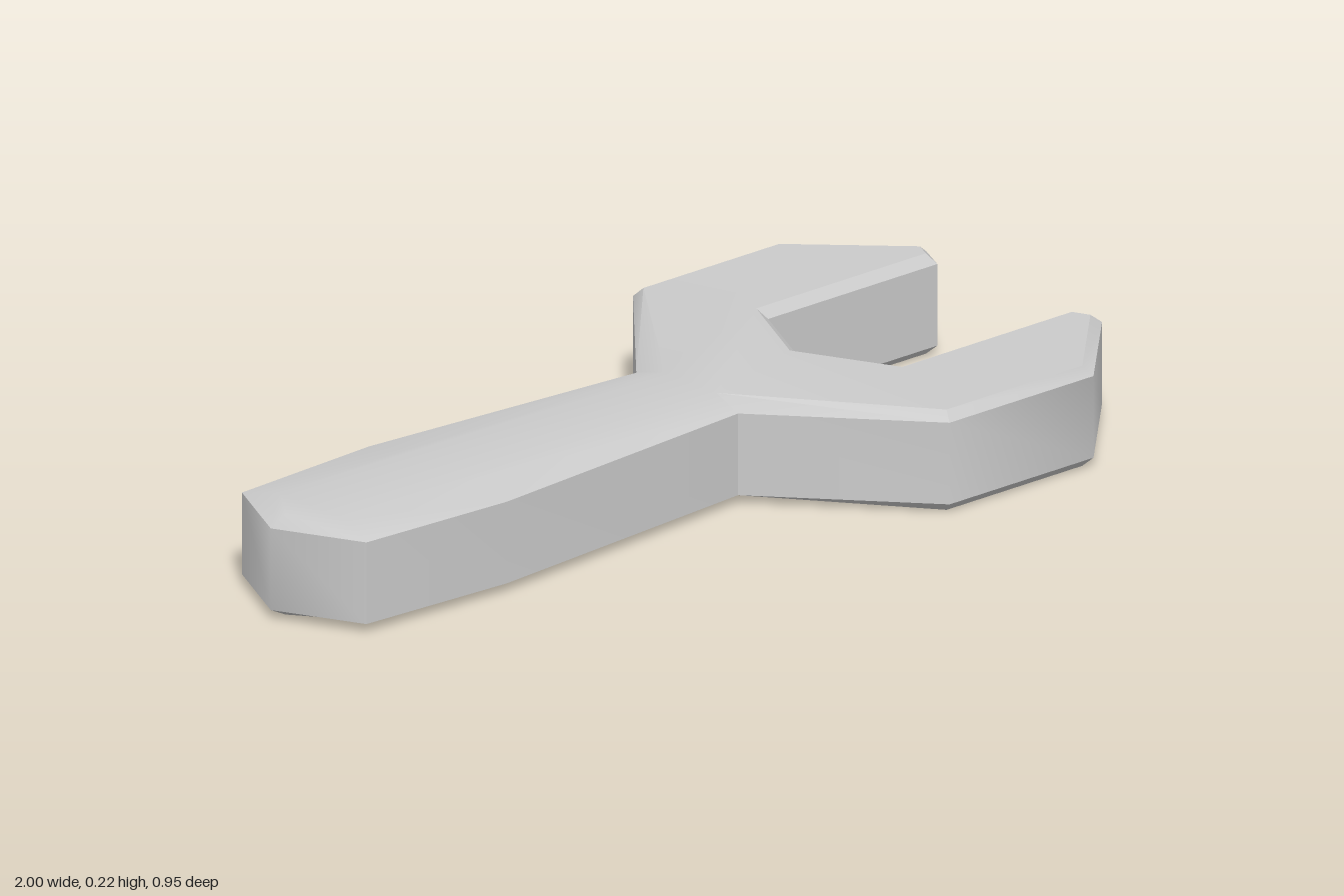
import * as THREE from 'three';
import { toCreasedNormals } from 'three/addons/utils/BufferGeometryUtils.js';

const HEIGHT = 0.215, BEVEL = 0.02;

// Half outlines [x, z], from the middle of the jaw round to the handle's end
const WALL = [[0.42, 0], [0.515, 0.197], [0.97, 0.197], [1, 0.262], [0.787, 0.473],
  [0.4, 0.473], [0.12, 0.152], [-0.55, 0.206], [-0.91, 0.186], [-1, 0]];
const FACE = [[0.396, 0], [0.502, 0.218], [0.958, 0.218], [0.975, 0.255], [0.775, 0.453],
  [0.41, 0.453], [0.13, 0.077], [-0.55, 0.105], [-0.89, 0.095], [-0.96, 0]];

// Mirror a half outline into a closed loop
function closed(half) {
  return [...half, ...half.slice(1, -1).reverse().map(([x, z]) => [x, -z])];
}

// Outward-facing band between a lower and an upper loop
function band(lower, y0, upper, y1) {
  const out = [];
  lower.forEach((p, i) => {
    const j = (i + 1) % lower.length;
    const a = [p[0], y0, p[1]], b = [lower[j][0], y0, lower[j][1]];
    const c = [upper[j][0], y1, upper[j][1]], d = [upper[i][0], y1, upper[i][1]];
    out.push(...a, ...d, ...c, ...a, ...c, ...b);
  });
  return out;
}

// Flat face filling a loop
function cap(loop, y, up) {
  const points = loop.map(([x, z]) => new THREE.Vector2(x, z));
  const out = [];
  for (const [a, b, c] of THREE.ShapeUtils.triangulateShape(points, [])) {
    for (const i of up ? [a, c, b] : [a, b, c]) out.push(loop[i][0], y, loop[i][1]);
  }
  return out;
}

function part(name, positions, crease, material) {
  const geometry = new THREE.BufferGeometry();
  geometry.setAttribute('position', new THREE.Float32BufferAttribute(positions, 3));
  const mesh = new THREE.Mesh(toCreasedNormals(geometry, crease), material);
  mesh.name = name;
  return mesh;
}

export function createModel() {
  const group = new THREE.Group();
  group.name = 'wrench';
  const material = new THREE.MeshStandardMaterial({ color: 0xcccccc });
  const wall = closed(WALL), face = closed(FACE);
  const low = BEVEL, high = HEIGHT - BEVEL;

  // Upright sides, softly shaded round the blunt corners
  group.add(part('sideWall', band(wall, low, wall, high), 0.93, material));
  // Top and bottom: flat head with a narrow bevel, broad sloping bevel on the handle
  group.add(part('topFace',
    [...band(wall, high, face, HEIGHT), ...cap(face, HEIGHT, true)], 0.6, material));
  group.add(part('bottomFace',
    [...band(face, 0, wall, low), ...cap(face, 0, false)], 0.6, material));
  return group;
}
